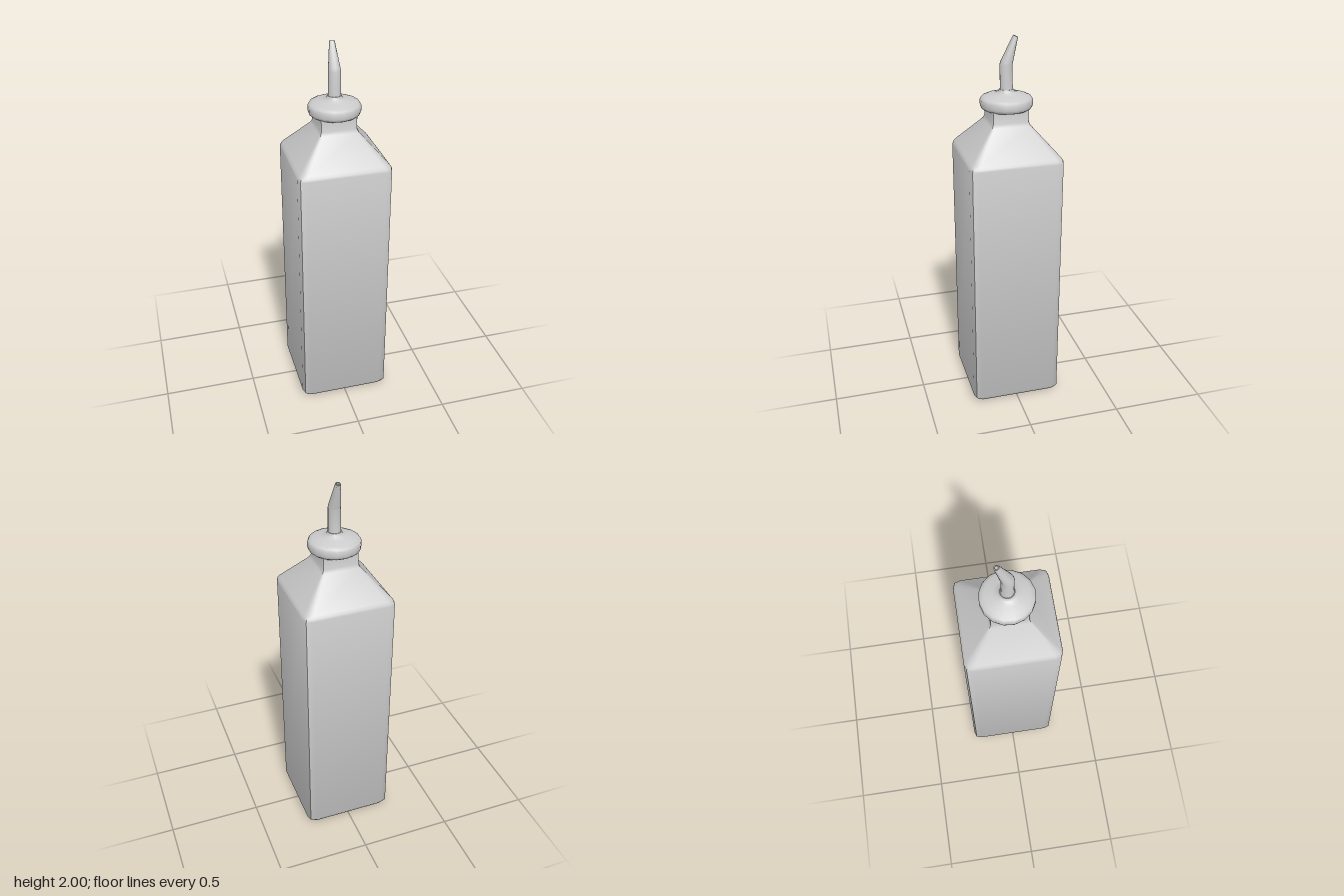
import * as THREE from 'three';
import { toCreasedNormals } from 'three/addons/utils/BufferGeometryUtils.js';

// Skin a stack of equal-length rings; both ends are closed with a fan.
function loft(rings, crease) {
  const n = rings[0].length;
  const pos = [], idx = [];
  rings.forEach(r => r.forEach(p => pos.push(p.x, p.y, p.z)));
  for (let i = 0; i < rings.length - 1; i++) {
    for (let j = 0; j < n; j++) {
      const a = i * n + j, b = i * n + (j + 1) % n;
      idx.push(a, b, b + n, a, b + n, a + n);
    }
  }
  [0, rings.length - 1].forEach((i, top) => {
    const c = rings[i].reduce((s, p) => s.add(p), new THREE.Vector3()).divideScalar(n);
    const k = pos.length / 3;
    pos.push(c.x, c.y, c.z);
    for (let j = 0; j < n; j++) {
      const a = i * n + j, b = i * n + (j + 1) % n;
      idx.push(k, top ? a : b, top ? b : a);
    }
  });
  const g = new THREE.BufferGeometry();
  g.setAttribute('position', new THREE.Float32BufferAttribute(pos, 3));
  g.setIndex(idx);
  return toCreasedNormals(g, crease);
}

// Square ring of half width w whose corners are softened by k.
function squareRing(y, w, k) {
  const ring = [];
  for (let q = 0; q < 4; q++) {
    for (const [x, z] of [[w - k, w], [w - k / 4, w - k / 4], [w, w - k]]) {
      ring.push(new THREE.Vector3(x, y, z).applyAxisAngle(new THREE.Vector3(0, 1, 0), q * Math.PI / 2));
    }
  }
  return ring;
}

// Round ring centred at (0, y, z), tipped back by tilt.
function roundRing(y, z, r, tilt) {
  return Array.from({ length: 16 }, (_, j) => {
    const a = j / 16 * Math.PI * 2;
    return new THREE.Vector3(r * Math.sin(a), 0, r * Math.cos(a))
      .applyAxisAngle(new THREE.Vector3(1, 0, 0), -tilt)
      .add(new THREE.Vector3(0, y, z));
  });
}

export function createModel() {
  const group = new THREE.Group();
  const material = new THREE.MeshStandardMaterial({ color: 0xcccccc });
  const add = (name, geometry) => {
    const mesh = new THREE.Mesh(geometry, material);
    mesh.name = name;
    group.add(mesh);
    return mesh;
  };

  // Square bottle with sloping shoulders and a short square neck
  const body = [
    [0, 0.21, 0.03], [0.008, 0.232, 0.035], [0.03, 0.245, 0.04],
    [1.39, 0.245, 0.04], [1.402, 0.241, 0.038], [1.415, 0.231, 0.034],
    [1.56, 0.103, 0.014], [1.578, 0.095, 0.012], [1.65, 0.095, 0.012],
  ];
  add('bottle', loft(body.map(r => squareRing(...r)), 0.7));

  // Low domed screw cap with a collar for the nozzle
  const profile = [
    [0, 1.634], [0.122, 1.634], [0.132, 1.642], [0.135, 1.652], [0.135, 1.68],
    [0.129, 1.69], [0.11, 1.698], [0.07, 1.708], [0.045, 1.716], [0.04, 1.722],
    [0.036, 1.732], [0, 1.732],
  ].map(p => new THREE.Vector2(...p));
  const cap = add('cap', toCreasedNormals(new THREE.LatheGeometry(profile, 16), 0.8));
  cap.rotation.y = 0.11;

  // Bent, tapering nozzle with an open bore at the tip
  const nozzle = [
    [1.715, 0, 0.036, 0], [1.735, 0, 0.033, 0], [1.855, 0.002, 0.032, 0.1],
    [1.868, -0.002, 0.031, 0.25], [1.994, -0.047, 0.0135, 0.4],
    [1.994, -0.047, 0.009, 0.4], [1.93, -0.024, 0.009, 0.4],
  ];
  add('nozzle', loft(nozzle.map(r => roundRing(...r)), 0.8));

  return group;
}
